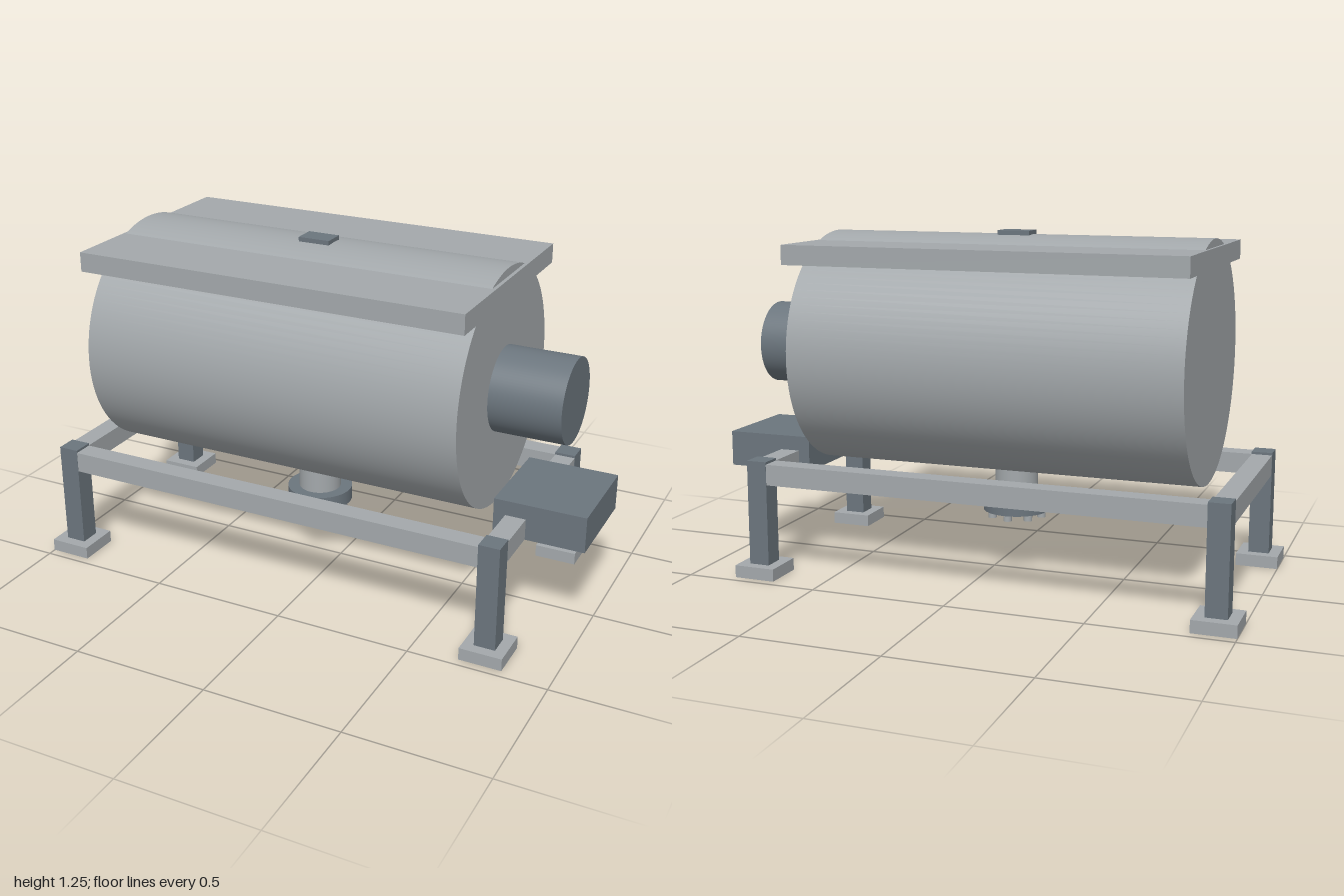
import * as THREE from 'three';

export function createModel() {
  const model = new THREE.Group();
  model.name = 'horizontalTank';
  const steel = new THREE.MeshStandardMaterial({ color: 0xa3a8ab });
  steel.name = 'light steel';
  const dark = new THREE.MeshStandardMaterial({ color: 0x6b757d });
  dark.name = 'dark steel';

  const add = (name, geometry, material, x, y, z, parent = model) => {
    const mesh = new THREE.Mesh(geometry, material);
    mesh.name = name;
    mesh.position.set(x, y, z);
    parent.add(mesh);
    return mesh;
  };
  // Box given by its lower and upper limits on each axis
  const box = (name, material, [x0, x1], [y0, y1], [z0, z1], parent) =>
    add(name, new THREE.BoxGeometry(x1 - x0, y1 - y0, z1 - z0), material,
      (x0 + x1) / 2, (y0 + y1) / 2, (z0 + z1) / 2, parent);
  // Cylinder lying along x
  const drum = (name, material, radius, x0, x1, y) =>
    add(name, new THREE.CylinderGeometry(radius, radius, x1 - x0, 96).rotateZ(-Math.PI / 2),
      material, (x0 + x1) / 2, y, 0);

  // Vessel, lid and drive
  drum('tank', steel, 0.427, -0.798, 0.622, 0.809);
  box('lid', steel, [-0.807, 0.635], [1.137, 1.207], [-0.42, 0.42]);
  box('lidHandle', dark, [-0.145, -0.027], [1.22, 1.25], [-0.04, 0.04]);
  drum('motor', dark, 0.152, 0.61, 0.88, 0.805);
  box('gearBox', dark, [0.672, 1], [0.344, 0.475], [-0.181, 0.181]);

  // Frame: four legs on foot plates, joined by rails
  const frame = new THREE.Group();
  frame.name = 'frame';
  model.add(frame);
  const legX = [-0.923, 0.752], legZ = [-0.393, 0.393], half = 0.038, foot = 0.077;
  const around = (c, h) => [c - h, c + h];
  const railY = [0.345, 0.421];
  for (const x of legX) {
    for (const z of legZ) {
      box('leg', dark, around(x, half), [0, 0.43], around(z, half), frame);
      box('footPlate', steel, around(x, foot), [0.001, 0.046], around(z, foot), frame);
    }
    box('crossRail', steel, around(x, half - 0.001), railY, [legZ[0] + half, legZ[1] - half], frame);
  }
  for (const z of legZ)
    box('longRail', steel, [legX[0] + half, legX[1] - half], railY, around(z, half - 0.001), frame);

  // Drain outlet with bolted flange
  const drain = new THREE.Group();
  drain.name = 'drain';
  drain.position.x = -0.087;
  model.add(drain);
  const post = (name, material, r, y0, y1, x = 0, z = 0, sides = 48) =>
    add(name, new THREE.CylinderGeometry(r, r, y1 - y0, sides), material, x, (y0 + y1) / 2, z, drain);
  post('drainPipe', steel, 0.078, 0.27, 0.42);
  post('drainFlange', dark, 0.121, 0.228, 0.28);
  for (let i = 0; i < 8; i++) {
    const a = i * Math.PI / 4;
    post('flangeBolt', steel, 0.0155, 0.205, 0.235, 0.097 * Math.cos(a), 0.097 * Math.sin(a), 20);
  }
  return model;
}
